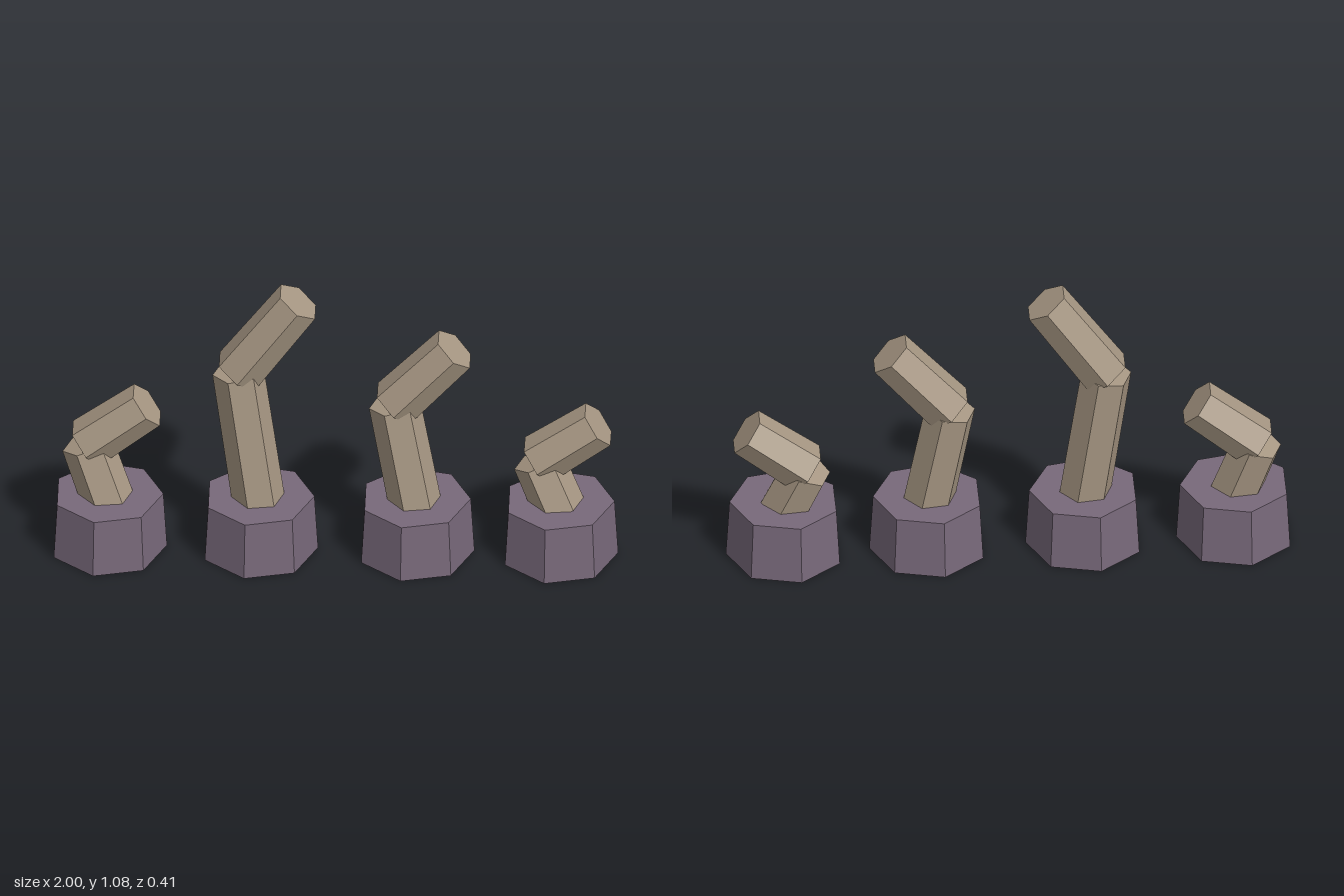
import * as THREE from 'three';

const purple = new THREE.MeshStandardMaterial({ color: 0x78697a, flatShading: true });
purple.name = 'dusty purple';
const tan = new THREE.MeshStandardMaterial({ color: 0xa89884, flatShading: true });
tan.name = 'warm tan';

// Six-sided bar running from one point to another
function bar(name, from, to, rFrom, rTo, turn) {
  const dir = to.clone().sub(from);
  const geo = new THREE.CylinderGeometry(rTo, rFrom, dir.length(), 6, 1, false, turn);
  const mesh = new THREE.Mesh(geo, tan);
  mesh.name = name;
  mesh.position.copy(from).add(to).multiplyScalar(0.5);
  mesh.quaternion.setFromUnitVectors(new THREE.Vector3(0, 1, 0), dir.normalize());
  return mesh;
}

export function createModel() {
  const model = new THREE.Group();
  model.name = 'bentPostRow';

  // x of the base, height of the joint, height of the tip
  const posts = [
    [-0.811, 0.412, 0.583],
    [-0.275, 0.732, 1.035],
    [0.28, 0.604, 0.843],
    [0.79, 0.372, 0.532],
  ];

  posts.forEach(([x, jointY, tipY], i) => {
    const post = new THREE.Group();
    post.name = `post${i + 1}`;
    post.position.x = x;

    // Seven-sided base with one corner towards +x
    const base = new THREE.Mesh(
      new THREE.CylinderGeometry(0.197, 0.21, 0.22, 7, 1, false, Math.PI / 2), purple);
    base.name = 'base';
    base.position.y = 0.11;

    // Lower bar leans back and sideways, upper bar bends the other way
    const root = new THREE.Vector3(0, 0.19, 0);
    const joint = new THREE.Vector3(-0.075, jointY, -0.03);
    const tip = new THREE.Vector3(0.138, tipY, -0.023);
    post.add(
      base,
      bar('lowerBar', root, joint, 0.094, 0.092, THREE.MathUtils.degToRad(39)),
      bar('upperBar', joint, tip, 0.093, 0.087, 0));
    model.add(post);
  });

  return model;
}
